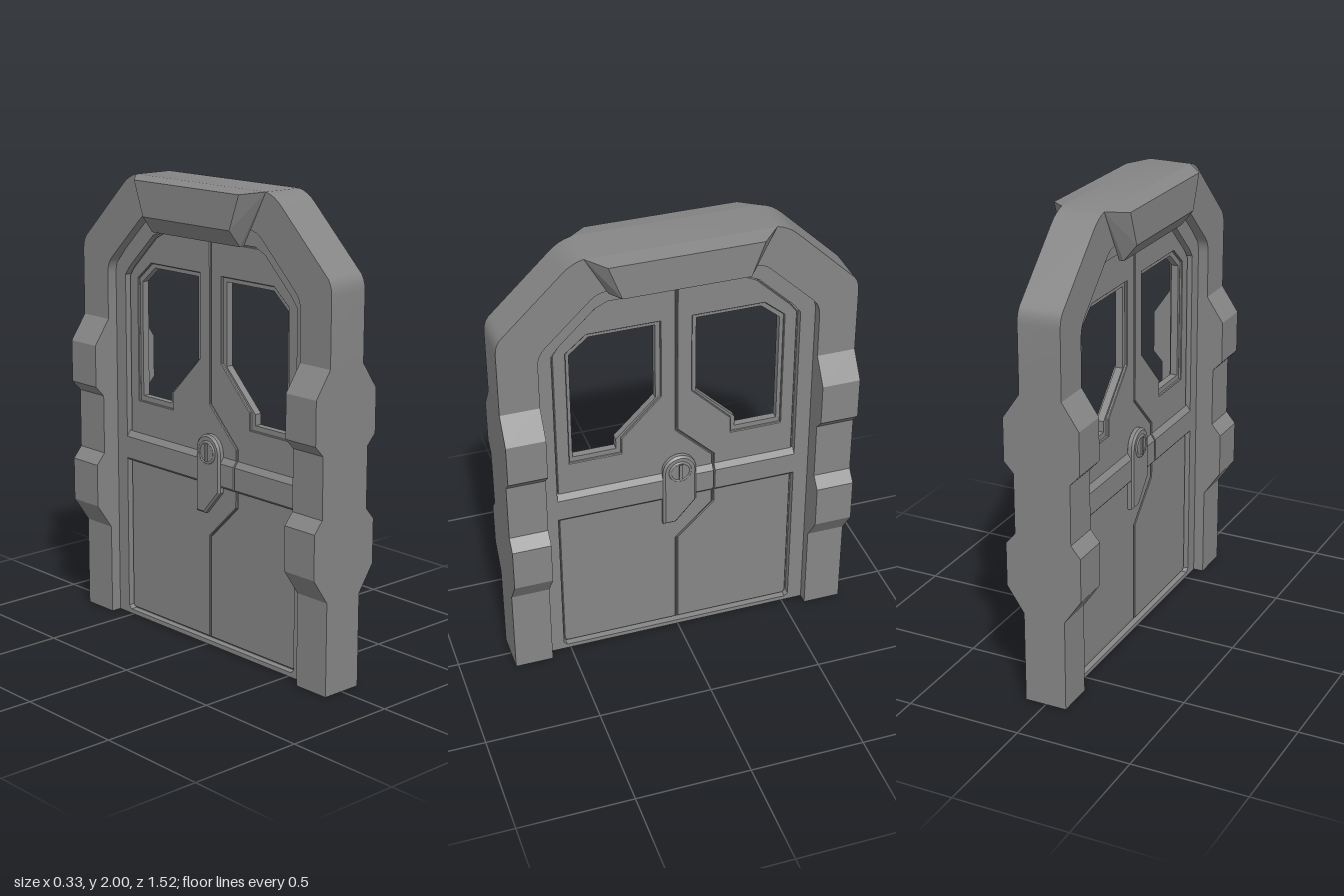
import * as THREE from 'three';
import { toCreasedNormals } from 'three/addons/utils/BufferGeometryUtils.js';
import { ConvexGeometry } from 'three/addons/geometries/ConvexGeometry.js';

const darkGrey = new THREE.MeshStandardMaterial({ color: 0x868686 });

function mesh(name, geometry, parent) {
  const m = new THREE.Mesh(geometry, darkGrey);
  m.name = name;
  parent.add(m);
  return m;
}

const poly = (pts) => pts.map(([x, y]) => new THREE.Vector2(x, y));
const mirror = (pts) => pts.map(([u, y]) => [-u, y]).reverse();

// Slab drawn in the door plane (u = -z, y), spanning x0..x1, with optional bevel
function slab(shape, x0, x1, bevel = 0) {
  const g = new THREE.ExtrudeGeometry(shape, {
    depth: x1 - x0 - 2 * bevel, curveSegments: 6, bevelEnabled: bevel > 0,
    bevelThickness: bevel, bevelSize: bevel, bevelOffset: -bevel, bevelSegments: 1,
  });
  g.translate(0, 0, x0 + bevel);
  g.rotateY(Math.PI / 2);
  return toCreasedNormals(g, 0.5);
}

function shapeOf(pts, holes = []) {
  const s = new THREE.Shape(poly(pts));
  holes.forEach((h) => s.holes.push(new THREE.Path(poly(h))));
  return s;
}

// Profile in (x, y) extruded along z
function bar(pts, z0, z1) {
  const g = new THREE.ExtrudeGeometry(shapeOf(pts), { depth: z1 - z0, bevelEnabled: false });
  g.translate(0, 0, z0);
  return g;
}

// Softened corner: points along a quadratic curve
function corner(a, c, b) {
  const [p, q, r] = poly([a, c, b]);
  return new THREE.QuadraticBezierCurve(p, q, r).getPoints(4).map((v) => [v.x, v.y]);
}

export function createModel() {
  const model = new THREE.Group();
  model.name = 'door';

  // Arch above the legs
  const outer = [
    ...corner([0.762, 1.637], [0.762, 1.69], [0.727, 1.716]),
    ...corner([0.485, 1.95], [0.445, 1.99], [0.395, 2]),
  ];
  const inner = [
    ...corner([0.595, 1.55], [0.595, 1.6], [0.562, 1.63]),
    ...corner([0.375, 1.81], [0.345, 1.84], [0.3, 1.84]),
  ];
  const archHalf = [[0.762, 1.35], ...outer];
  const innerHalf = [[0.595, 1.35], ...inner];
  const arch = [...archHalf, ...mirror(archHalf), ...innerHalf.map(([u, y]) => [-u, y]),
    ...[...innerHalf].reverse()];
  mesh('arch', slab(shapeOf(arch), -0.092, 0.092), model);

  // Legs with two flared blocks each
  const legSide = [[0.092, 0], [0.092, 0.4], [0.167, 0.51], [0.167, 0.7], [0.125, 0.75],
    [0.125, 1.01], [0.167, 1.055], [0.167, 1.24], [0.092, 1.35]];
  const legProfile = [...legSide, ...mirror(legSide)];
  mesh('frontLeg', bar(legProfile, 0.595, 0.762), model);
  mesh('backLeg', bar(legProfile, -0.762, -0.595), model);

  // Header blocks; the one on the -x side has a deeper sloping underside
  function header(sign, innerX, innerY, innerZ) {
    const pts = [];
    for (const s of [-1, 1]) {
      for (const [x, y, z] of [[0.092, 2, 0.395], [0.092, innerY, innerZ],
        [innerX, innerY, innerZ], [0.167, 1.988, 0.32], [0.167, 1.84, 0.265]]) {
        pts.push(new THREE.Vector3(sign * x, y, s * z));
      }
    }
    mesh('headerBlock', new ConvexGeometry(pts), model);
  }
  header(1, 0.096, 1.83, 0.3);
  header(-1, 0.112, 1.77, 0.27);

  // Thin core with the window openings
  const windowInner = [[0.45, 1.525], [0.367, 1.595], [0.088, 1.595], [0.088, 1.24],
    [0.262, 1.067], [0.262, 1.02], [0.45, 1.02]];
  const windowOuter = [[0.466, 1.54], [0.378, 1.614], [0.068, 1.614], [0.068, 1.25],
    [0.242, 1.073], [0.242, 0.998], [0.466, 0.998]];
  const doorway = [[0.61, 0], [0.61, 1.57], [0.36, 1.85]];
  const doorOutline = [...doorway, ...mirror(doorway)];
  mesh('core', slab(shapeOf(doorOutline, [windowInner, mirror(windowInner)]), -0.016, 0.016), model);

  // Relief of one face, repeated turned half way round
  function face(name) {
    const side = new THREE.Group();
    side.name = name;
    model.add(side);

    // Surrounding inner frame
    const openHalf = [[0.515, 0.02], [0.53, 0.035], [0.53, 1.55],
      [0.5, 1.59], [0.345, 1.74], [0.29, 1.765]];
    const opening = [...openHalf, ...mirror(openHalf)];
    mesh('innerFrame', slab(shapeOf(doorOutline, [opening]), 0.014, 0.046), side);

    // Two leaves meeting at a stepped seam
    const seam = [[0, 1.757], [0, 1.065], [0.165, 0.9], [0.165, 0.645], [0, 0.485], [0, 0.028]];
    const edge = [[0.51, 0.028], [0.522, 0.04], [0.522, 1.545], [0.495, 1.583],
      [0.34, 1.732], [0.288, 1.757]];
    const shift = (d) => seam.map(([u, y]) => [u + d, y]);
    mesh('rightLeaf', slab(shapeOf([...shift(0.004), ...edge], [windowOuter]), 0.014, 0.028, 0.003), side);
    mesh('leftLeaf', slab(shapeOf([...shift(-0.004).reverse(), ...mirror(edge)],
      [mirror(windowOuter)]), 0.014, 0.028, 0.003), side);

    // Raised cross band, split at the seam
    const bandProfile = [[0.018, 0.72], [0.04, 0.72], [0.046, 0.728], [0.046, 0.825], [0.026, 0.853]];
    mesh('band', bar(bandProfile, -0.161, 0.532), side);
    mesh('band', bar(bandProfile, -0.532, -0.169), side);

    // Handle plate with round head and slanted foot
    const plate = new THREE.Shape();
    plate.moveTo(-0.066, 0.59);
    plate.lineTo(-0.01, 0.59);
    plate.lineTo(0.082, 0.695);
    plate.lineTo(0.082, 0.865);
    plate.absarc(0.008, 0.865, 0.074, 0, Math.PI, false);
    plate.closePath();
    mesh('handlePlate', slab(plate, 0.02, 0.055, 0.009), side);

    // Knob: rim, disc and grip bar
    const rim = mesh('knobRim', new THREE.TorusGeometry(0.045, 0.006, 8, 32), side);
    rim.rotation.y = Math.PI / 2;
    rim.position.set(0.055, 0.862, -0.008);
    const disc = mesh('knobDisc', new THREE.CylinderGeometry(0.042, 0.042, 0.01, 32), side);
    disc.rotation.z = Math.PI / 2;
    disc.position.set(0.053, 0.862, -0.008);
    const grip = mesh('knobGrip', new THREE.BoxGeometry(0.012, 0.078, 0.012), side);
    grip.position.set(0.059, 0.862, -0.008);
    return side;
  }
  face('outerFace');
  face('innerFace').rotation.y = Math.PI;

  return model;
}
